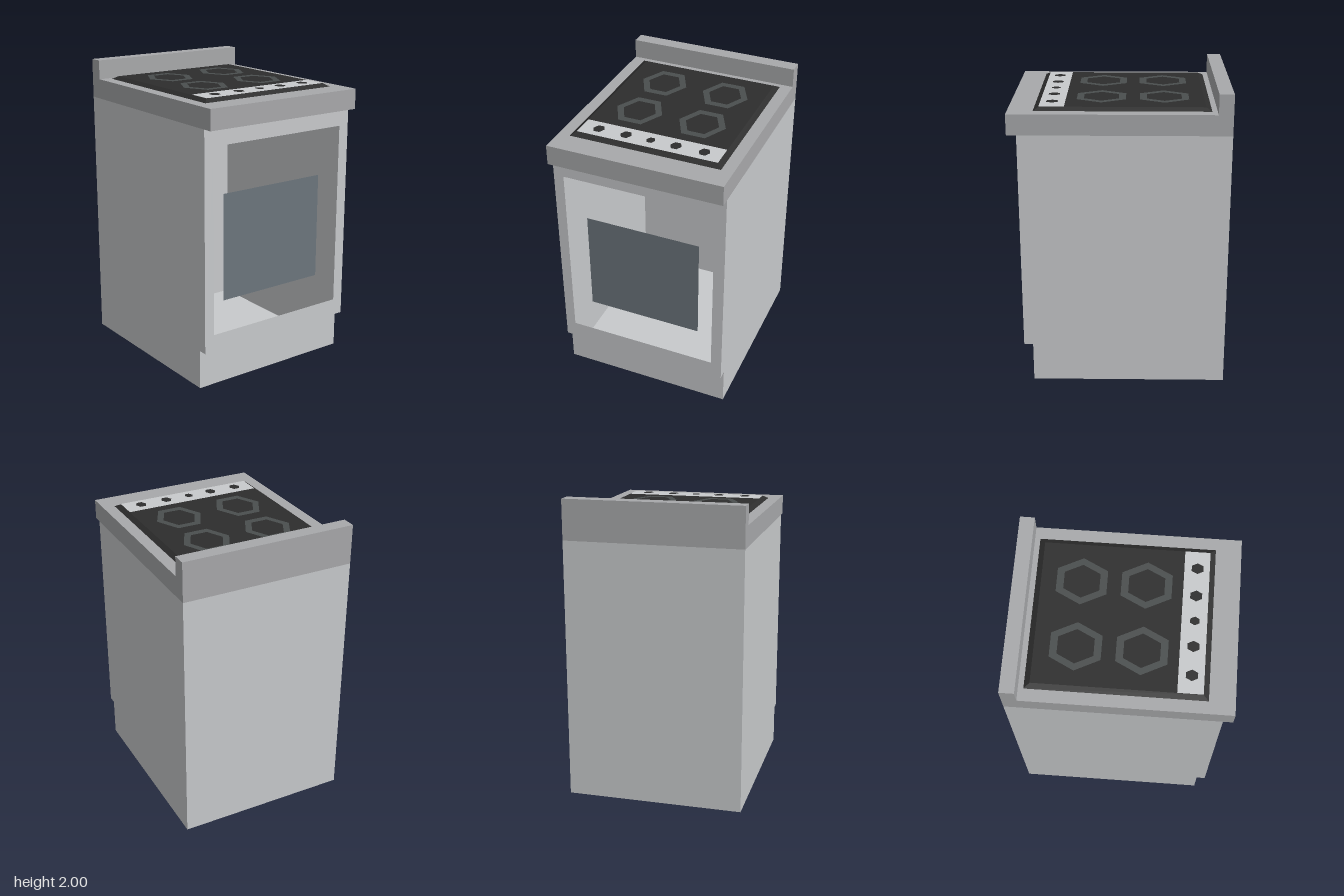
import * as THREE from 'three';

const mat = (name, color, side = THREE.FrontSide) =>
  new THREE.MeshStandardMaterial({ name, color, side });

export function createModel() {
  const enamel = mat('light enamel', 0xc8cacc, THREE.DoubleSide);
  const steel = mat('grey steel', 0xa8a9ab);
  const black = mat('black glass', 0x2d2d2d);
  const ringGrey = mat('burner grey', 0x4a4e4e);
  const glass = mat('window glass', 0x6c757d, THREE.DoubleSide);

  const stove = new THREE.Group();
  stove.name = 'stove';
  const add = (name, geometry, material, x = 0, y = 0, z = 0, parent = stove) => {
    const mesh = new THREE.Mesh(geometry, material);
    mesh.name = name;
    mesh.position.set(x, y, z);
    parent.add(mesh);
    return mesh;
  };

  const W = 1.174, half = W / 2;
  const back = -0.706, front = 0.645, kick = 0.585;
  const kickY = 0.265, slabY = 1.735, topY = 1.87, glassY = 1.89;

  // Hollow body made of thin sheets
  const body = new THREE.Group();
  body.name = 'body';
  stove.add(body);
  const sideShape = new THREE.Shape([
    [back, 0], [kick, 0], [kick, kickY], [front, kickY], [front, slabY], [back, slabY],
  ].map(([z, y]) => new THREE.Vector2(z, y)));
  for (const [name, s] of [['leftSide', 1], ['rightSide', -1]]) {
    const geometry = new THREE.ShapeGeometry(sideShape);
    // Each side faces outward
    geometry.rotateY(-Math.PI / 2);
    if (s > 0) {
      const index = geometry.index.array;
      for (let i = 0; i < index.length; i += 3) [index[i], index[i + 1]] = [index[i + 1], index[i]];
      geometry.computeVertexNormals();
    }
    add(name, geometry, enamel, s * half, 0, 0, body);
  }
  add('backPanel', new THREE.PlaneGeometry(W, slabY).rotateY(Math.PI), enamel, 0, slabY / 2, back, body);
  add('floor', new THREE.PlaneGeometry(W, kick - back).rotateX(Math.PI / 2), enamel, 0, 0, (kick + back) / 2, body);
  add('kickPanel', new THREE.PlaneGeometry(W, kickY), enamel, 0, kickY / 2, kick, body);
  add('kickLedge', new THREE.PlaneGeometry(W, front - kick).rotateX(Math.PI / 2), enamel,
    0, kickY, (front + kick) / 2, body);

  // Front frame with the oven opening
  const rect = (Type, x0, y0, x1, y1) => new Type([
    new THREE.Vector2(x0, y0), new THREE.Vector2(x1, y0),
    new THREE.Vector2(x1, y1), new THREE.Vector2(x0, y1),
  ]);
  const frame = rect(THREE.Shape, -half, kickY, half, slabY);
  frame.holes.push(rect(THREE.Path, -0.518, 0.38, 0.512, 1.62));
  add('frontFrame', new THREE.ShapeGeometry(frame), enamel, 0, 0, front, body);

  // Oven window, set back in the opening
  add('ovenWindow', new THREE.PlaneGeometry(0.79, 0.718), glass, -0.005, 0.93, kick);

  // Worktop and splashback
  add('worktop', new THREE.BoxGeometry(W, topY - slabY, 1.414), steel, 0, (topY + slabY) / 2, 0.001);
  add('splashback', new THREE.BoxGeometry(W, 2 - topY, 0.094), steel, 0, (topY + 2) / 2, back + 0.047);

  // Hob glass with bevelled edges
  const hob = new THREE.BoxGeometry(1.014, glassY - topY, 1.123);
  const p = hob.attributes.position;
  for (let i = 0; i < p.count; i++) {
    if (p.getY(i) > 0) p.setXYZ(i, p.getX(i) * 0.935, p.getY(i), p.getZ(i) * 0.937);
  }
  hob.computeVertexNormals();
  add('hob', hob, black, 0, (topY + glassY) / 2, -0.0165);

  // Flat six-sided outlines, as deep as they are wide
  const hexPoints = (r) => Array.from({ length: 6 }, (_, i) => {
    const a = (i * Math.PI) / 3;
    return new THREE.Vector2(r * Math.cos(a), (r * Math.sin(a)) / Math.sin(Math.PI / 3));
  });
  const plate = (r, hole) => {
    const shape = new THREE.Shape(hexPoints(r));
    if (hole) shape.holes.push(new THREE.Path(hexPoints(hole)));
    return new THREE.ShapeGeometry(shape).rotateX(-Math.PI / 2);
  };

  // Burner rings
  for (const x of [-0.219, 0.219]) {
    for (const z of [-0.285, 0.122]) add('burnerRing', plate(0.159, 0.113), ringGrey, x, glassY + 0.003, z);
  }

  // Control strip and knobs
  add('controlStrip', new THREE.PlaneGeometry(0.948, 0.16).rotateX(-Math.PI / 2), enamel, 0, glassY + 0.002, 0.431);
  for (const x of [-0.357, -0.169, 0, 0.169, 0.357]) {
    add('knob', plate(x === 0 ? 0.029 : 0.037), black, x, glassY + 0.005, 0.434);
  }

  return stove;
}
